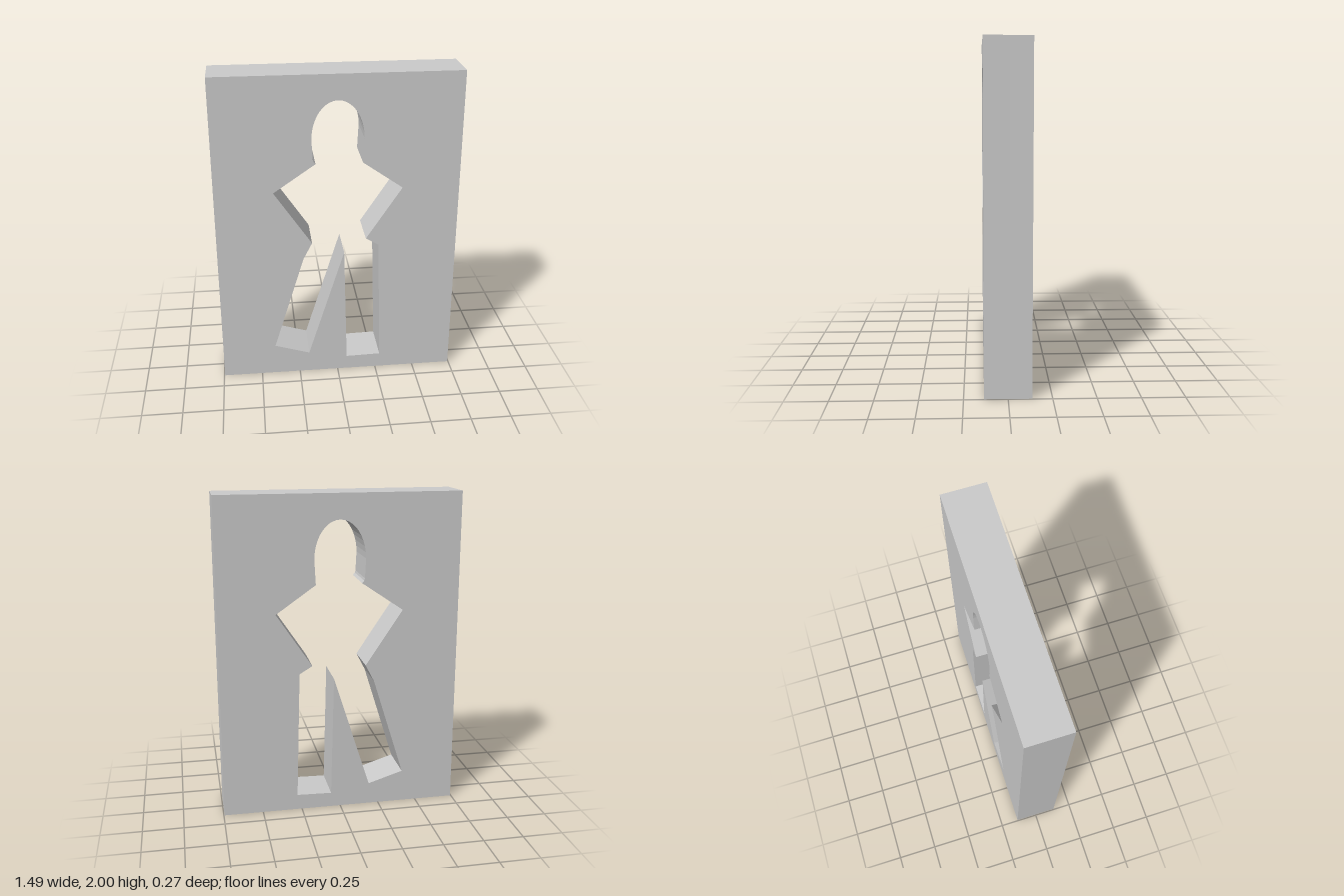
import * as THREE from 'three';

const WIDTH = 1.49, HEIGHT = 2, DEPTH = 0.27;

// Standing figure outline: shoulders, elbows, waist and legs, from right neck round to left neck
const BODY = [
  [-0.15, 1.49], [-0.146, 1.475], [-0.133, 1.46], // neck, right side
  [-0.39, 1.284], [-0.16, 0.94], [-0.215, 0.833], // elbow, waist, hip
  [-0.408, 0.207], [-0.188, 0.138],               // right foot
  [0.04, 0.865],                                  // crotch
  [0.06, 0.093], [0.278, 0.098],                  // left foot
  [0.255, 0.907], [0.175, 0.955], [0.395, 1.287], // hip, waist, elbow
  [0.15, 1.459],                                  // neck, left side
];

function figureHole() {
  const points = BODY.map(([x, y]) => new THREE.Vector2(x, y));
  // Rounded head
  const segments = 20;
  for (let i = 0; i <= segments; i++) {
    const a = (i / segments) * Math.PI;
    points.push(new THREE.Vector2(0.001 + 0.157 * Math.cos(a), 1.61 + 0.235 * Math.sin(a)));
  }
  return new THREE.Path(points).closePath();
}

export function createModel() {
  const group = new THREE.Group();
  group.name = 'cutoutPanel';

  // Upright slab with the figure cut straight through
  const w = WIDTH / 2;
  const slab = new THREE.Shape([
    new THREE.Vector2(-w, 0), new THREE.Vector2(w, 0),
    new THREE.Vector2(w, HEIGHT), new THREE.Vector2(-w, HEIGHT),
  ]);
  slab.holes.push(figureHole());

  const geometry = new THREE.ExtrudeGeometry(slab, { depth: DEPTH, bevelEnabled: false, steps: 1 });
  geometry.translate(0, 0, -DEPTH / 2);

  const panel = new THREE.Mesh(
    geometry,
    new THREE.MeshStandardMaterial({ color: 0xcccccc, flatShading: true }),
  );
  panel.name = 'panelWithFigureHole';
  group.add(panel);
  return group;
}
